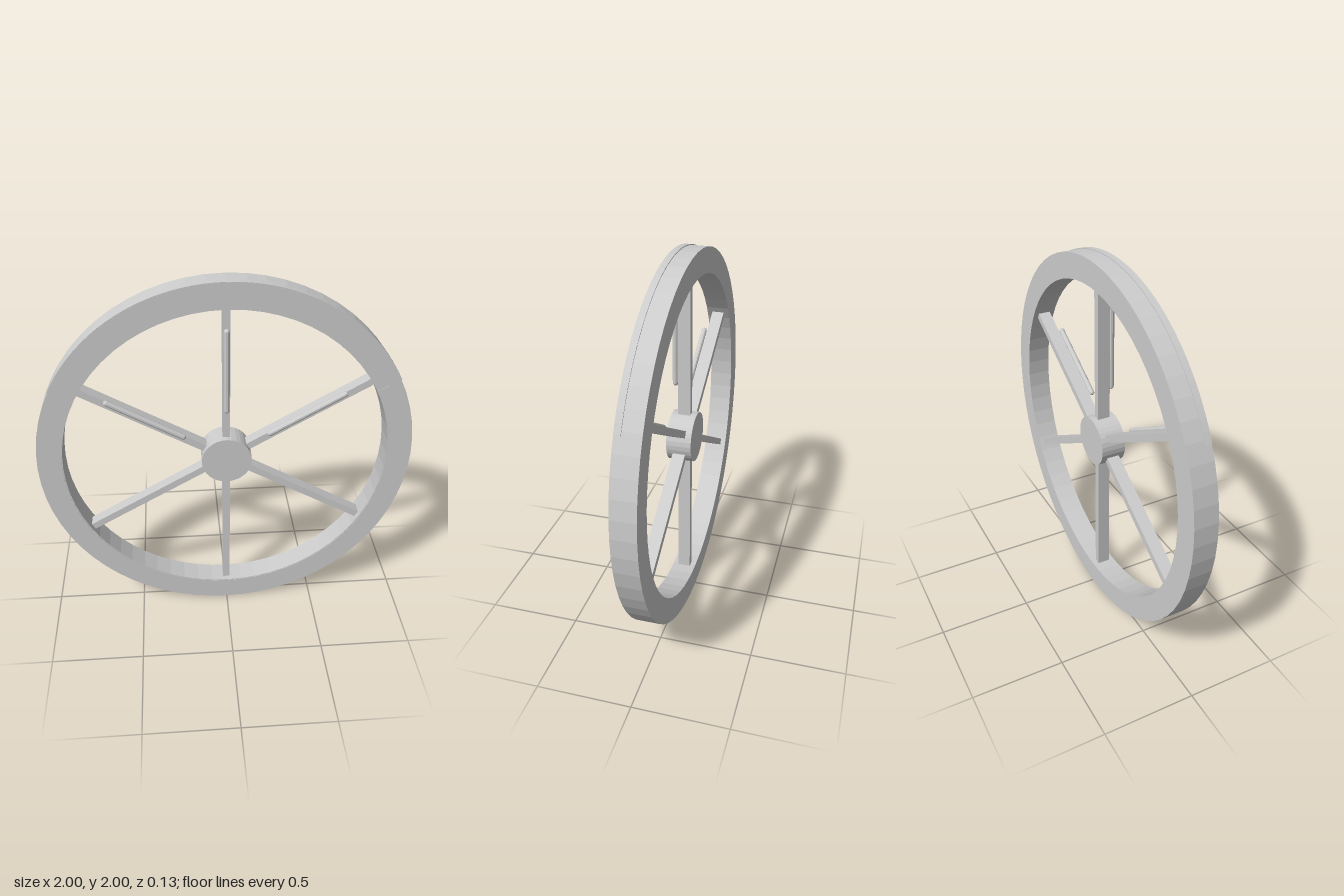
import * as THREE from 'three';

const SEGMENTS = 64;
const CENTER_Y = 1;

// Flat ring or ring section with the wheel axis along z
function ring(inner, outer, zBack, zFront, start = 0, end = Math.PI * 2, steps = SEGMENTS) {
  const arc = (radius, i) => {
    const a = start + ((end - start) * i) / steps;
    return new THREE.Vector2(Math.cos(a) * radius, Math.sin(a) * radius);
  };
  const full = end - start > 6.28;
  const count = full ? steps : steps + 1;
  const outerPts = Array.from({ length: count }, (_, i) => arc(outer, i));
  const innerPts = Array.from({ length: count }, (_, i) => arc(inner, i)).reverse();
  const shape = new THREE.Shape(full ? outerPts : [...outerPts, ...innerPts]);
  if (full) shape.holes.push(new THREE.Path(innerPts));
  const geometry = new THREE.ExtrudeGeometry(shape, { depth: zFront - zBack, bevelEnabled: false });
  return geometry.translate(0, 0, zBack);
}

export function createModel() {
  const metal = new THREE.MeshStandardMaterial({ color: 0xcccccc, flatShading: true });
  metal.name = 'light grey metal';

  const wheel = new THREE.Group();
  wheel.name = 'spokedWheel';
  const add = (name, geometry, parent = wheel) => {
    const mesh = new THREE.Mesh(geometry, metal);
    mesh.name = name;
    parent.add(mesh);
    return mesh;
  };

  // Rim, with a thin raised strip over the top and a thin plate round the lower front
  add('rim', ring(0.865, 0.998, -0.064, 0.064));
  const tilt = THREE.MathUtils.degToRad(27);
  add('upperRimStrip', ring(0.98, 1.002, 0.03, 0.0635, tilt, Math.PI - tilt, 40));
  add('lowerRimPlate', ring(0.87, 0.93, 0.06, 0.066, Math.PI - tilt, Math.PI * 2 + tilt, 44));

  // Hub
  add('hub', new THREE.CylinderGeometry(0.134, 0.134, 0.134, 32).rotateX(Math.PI / 2));

  // Six spokes from the hub into the rim
  for (let i = 0; i < 6; i++) {
    const spoke = add('spoke', new THREE.BoxGeometry(0.038, 0.77, 0.068).translate(0, 0.487, 0));
    spoke.rotation.z = (i * Math.PI) / 3;
  }

  // Round-ended bars in front of the three upper spokes, the outer two set a little higher
  for (const side of [-1, 0, 1]) {
    const bar = add('spokeBar', new THREE.CapsuleGeometry(0.015, 0.44, 4, 10).translate(0, 0.525, 0));
    bar.rotation.z = (-side * Math.PI) / 3;
    bar.position.set(-0.01 * side, side === 0 ? 0 : 0.018, 0.051);
    if (side !== 0) bar.geometry.translate(0, -0.03, 0);
  }

  wheel.children.forEach((part) => { part.position.y += CENTER_Y; });
  return wheel;
}
